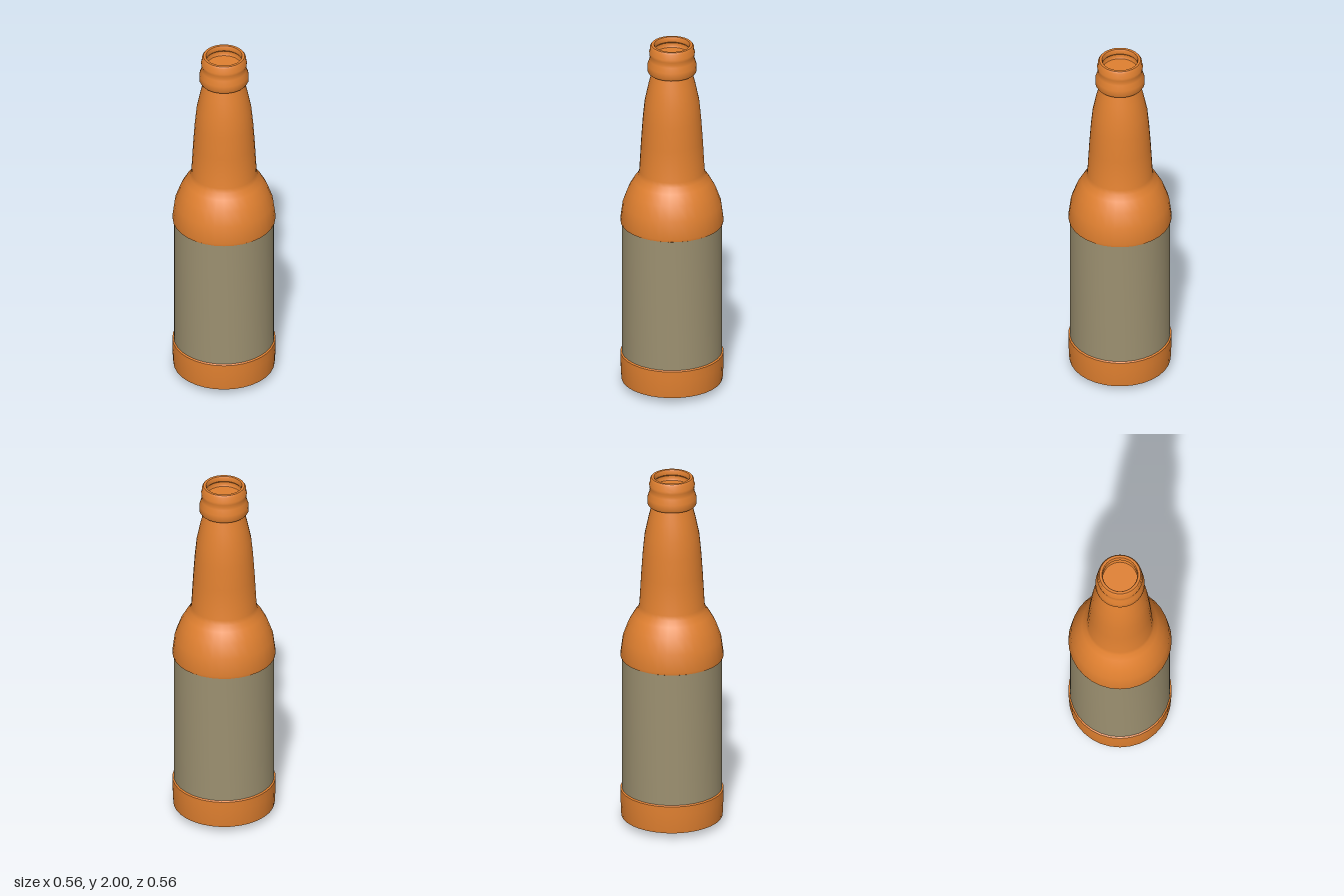
import * as THREE from 'three';
import { toCreasedNormals } from 'three/addons/utils/BufferGeometryUtils.js';

const SIDES = 32;

// Revolve a [radius, height] profile, listed bottom to top on the outside
function revolve(name, profile, material) {
  const points = profile.map(([r, y]) => new THREE.Vector2(r, y));
  const geometry = toCreasedNormals(new THREE.LatheGeometry(points, SIDES), 0.6);
  const mesh = new THREE.Mesh(geometry, material);
  mesh.name = name;
  return mesh;
}

export function createModel() {
  const bottle = new THREE.Group();
  bottle.name = 'bottle';
  const glass = new THREE.MeshStandardMaterial({ color: 0xe08030 });
  const paper = new THREE.MeshStandardMaterial({ color: 0x9c9070 });

  // Base with a shallow push-up underneath, ending in a ledge under the label
  bottle.add(revolve('base', [
    [0, 0.015], [0.138, 0.015], [0.145, 0], [0.2, 0.01], [0.272, 0.034],
    [0.274, 0.05], [0.278, 0.14], [0.278, 0.19], [0.268, 0.197],
  ], glass));

  // Label wrapped round the recessed body
  bottle.add(revolve('label', [[0.27, 0.193], [0.27, 0.96]], paper));

  // Rounded shoulder rising into the tapering neck
  bottle.add(revolve('shoulderAndNeck', [
    [0.268, 0.953], [0.276, 0.957], [0.278, 0.97], [0.265, 1.07], [0.236, 1.15],
    [0.205, 1.205], [0.183, 1.235], [0.176, 1.26], [0.166, 1.44], [0.157, 1.57],
    [0.147, 1.67], [0.126, 1.77], [0.108, 1.84],
  ], glass));

  // Collar, lip and the recessed mouth
  bottle.add(revolve('collarAndLip', [
    [0.106, 1.838], [0.128, 1.841], [0.133, 1.85], [0.132, 1.885], [0.122, 1.915],
    [0.119, 1.93], [0.122, 1.945], [0.123, 1.96], [0.119, 1.968], [0.118, 1.99],
    [0.111, 2], [0.097, 2], [0.093, 1.992], [0.093, 1.972], [0.098, 1.965],
    [0.098, 1.95], [0.093, 1.94], [0, 1.94],
  ], glass));

  return bottle;
}
